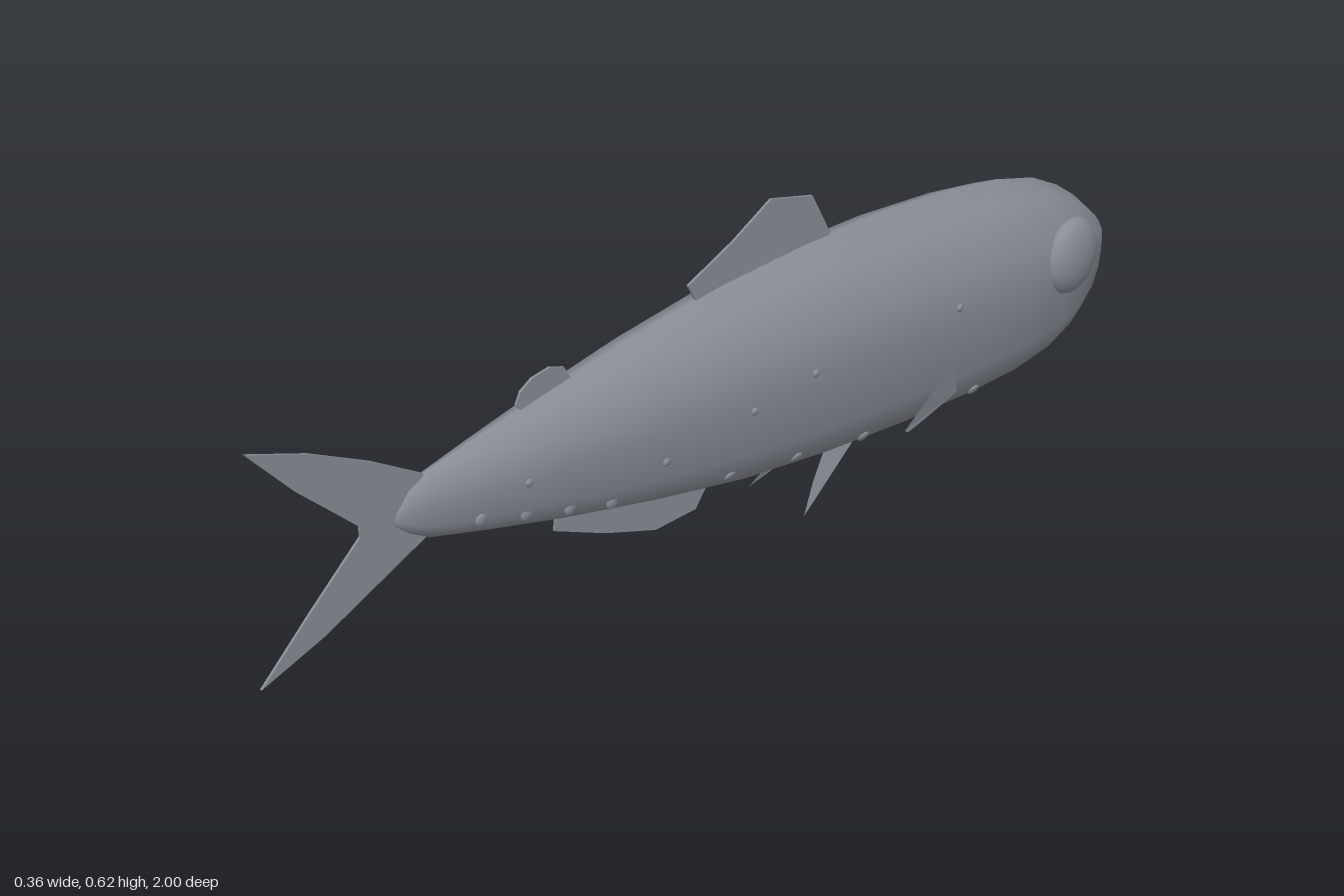
import * as THREE from 'three';

// Body stations: z, top y, bottom y, half width
const STATIONS = [
  [-1, 0.3, 0.28, 0.006], [-0.985, 0.325, 0.245, 0.024], [-0.96, 0.352, 0.205, 0.045],
  [-0.92, 0.39, 0.16, 0.068], [-0.87, 0.425, 0.122, 0.088], [-0.8, 0.46, 0.095, 0.105],
  [-0.7, 0.485, 0.076, 0.114], [-0.58, 0.5, 0.069, 0.117], [-0.4, 0.508, 0.067, 0.118],
  [-0.2, 0.503, 0.075, 0.115], [0, 0.485, 0.092, 0.106], [0.2, 0.452, 0.125, 0.09],
  [0.4, 0.41, 0.165, 0.068], [0.55, 0.375, 0.2, 0.047], [0.65, 0.352, 0.226, 0.028],
  [0.69, 0.33, 0.247, 0.015], [0.72, 0.292, 0.272, 0.003],
];
// Right half of the cross-section, from back to belly
const HALF = [[0, 1], [0.52, 0.87], [0.94, 0.47], [1, 0.08], [0.92, -0.5], [0.61, -0.83], [0, -1]];
const SECTION = [...HALF, ...HALF.slice(1, -1).reverse().map(([x, y]) => [-x, y])];

function bodyGeometry() {
  const positions = [], index = [], n = SECTION.length;
  for (const [z, top, bottom, w] of STATIONS) {
    for (const [u, v] of SECTION) positions.push(u * w, (top + bottom) / 2 + v * (top - bottom) / 2, z);
  }
  for (let i = 0; i < STATIONS.length - 1; i++) {
    for (let j = 0; j < n; j++) {
      const a = i * n + j, b = i * n + (j + 1) % n;
      index.push(a, a + n, b, b, a + n, b + n);
    }
  }
  // Close the nose and the tail root
  const last = (STATIONS.length - 1) * n;
  for (let j = 1; j < n - 1; j++) index.push(0, j, j + 1, last, last + j + 1, last + j);
  const g = new THREE.BufferGeometry();
  g.setAttribute('position', new THREE.Float32BufferAttribute(positions, 3));
  g.setIndex(index);
  g.computeVertexNormals();
  return g;
}

// Half width of the body surface at a given z and y
function surfaceX(z, y) {
  const i = STATIONS.findIndex((s) => s[0] > z);
  const a = STATIONS[i - 1], b = STATIONS[i], t = (z - a[0]) / (b[0] - a[0]);
  const [, top, bottom, w] = a.map((v, k) => THREE.MathUtils.lerp(v, b[k], t));
  const v = (2 * y - top - bottom) / (top - bottom);
  const k = Math.max(1, HALF.findIndex((p) => p[1] <= v));
  const p = HALF[k - 1], q = HALF[k];
  return w * THREE.MathUtils.lerp(p[0], q[0], (p[1] - v) / (p[1] - q[1]));
}

// Thin upright fin on the centre plane, outlined in (z, y)
function medianFin(points, depth = 0.005) {
  const shape = new THREE.Shape(points.map(([z, y]) => new THREE.Vector2(z, y)));
  const g = new THREE.ExtrudeGeometry(shape, { depth, bevelEnabled: false });
  return g.translate(0, 0, -depth / 2).rotateY(-Math.PI / 2);
}

// Flat paired fin as a fan of triangles, mirrored by side
function pairedFin(points, side) {
  const pos = [];
  for (let i = 1; i < points.length - 1; i++) {
    const tri = [points[0], points[i], points[i + 1]];
    if (side < 0) tri.reverse();
    for (const [x, y, z] of tri) pos.push(x * side, y, z);
  }
  const g = new THREE.BufferGeometry();
  g.setAttribute('position', new THREE.Float32BufferAttribute(pos, 3));
  g.computeVertexNormals();
  return g;
}

export function createModel() {
  const fish = new THREE.Group();
  fish.name = 'fish';
  const grey = new THREE.MeshStandardMaterial({ color: 0x888d96, side: THREE.DoubleSide });
  grey.name = 'slate grey';
  const add = (name, geometry) => {
    const mesh = new THREE.Mesh(geometry, grey);
    mesh.name = name;
    fish.add(mesh);
    return mesh;
  };

  add('body', bodyGeometry());

  // Fins on the centre line
  add('dorsalFin', medianFin([[0.05, 0.46], [0.075, 0.508], [-0.03, 0.56], [-0.12, 0.615],
    [-0.22, 0.593], [-0.265, 0.508], [-0.26, 0.48]]));
  add('adiposeFin', medianFin([[0.44, 0.385], [0.46, 0.408], [0.45, 0.43], [0.425, 0.447],
    [0.385, 0.455], [0.355, 0.445], [0.335, 0.41]]));
  add('analFin', medianFin([[0.38, 0.18], [0.385, 0.138], [0.27, 0.09], [0.155, 0.053],
    [0.06, 0.06], [0.025, 0.11]]));
  add('tailFin', medianFin([[0.65, 0.335], [0.66, 0.352], [0.76, 0.41], [0.88, 0.467], [1, 0.508],
    [0.91, 0.41], [0.79, 0.3], [0.79, 0.28], [0.9, 0.175], [1, 0.075],
    [0.87, 0.125], [0.75, 0.185], [0.66, 0.23], [0.65, 0.25]]));

  // Light organs along the belly and flank: z, y
  const spots = [[-0.58, 0.11], [-0.44, 0.108], [-0.29, 0.112], [-0.12, 0.13], [0.04, 0.148],
    [0.3, 0.185], [0.39, 0.205], [0.48, 0.225], [0.57, 0.245],
    [-0.49, 0.325], [0.01, 0.28], [0.2, 0.24], [0.48, 0.29], [-0.13, 0.31]];

  for (const side of [1, -1]) {
    const label = side > 0 ? 'left' : 'right';

    const eye = add(label + 'Eye', new THREE.SphereGeometry(1, 20, 14));
    eye.scale.set(0.034, 0.076, 0.075);
    eye.position.set(side * 0.094, 0.325, -0.815);
    eye.rotation.y = side * 0.15;

    add(label + 'PectoralFin', pairedFin([[0.107, 0.145, -0.5], [0.108, 0.205, -0.49],
      [0.145, 0.19, -0.39], [0.18, 0.165, -0.29], [0.178, 0.158, -0.3], [0.155, 0.15, -0.36]], side));
    add(label + 'PelvicFin', pairedFin([[0.034, 0.09, -0.31], [0.04, 0.09, -0.22],
      [0.056, 0.05, -0.18], [0.075, 0, -0.14], [0.06, 0.03, -0.2]], side));

    spots.forEach(([z, y], i) => {
      const big = i < 9;
      const spot = add(label + 'LightOrgan', new THREE.SphereGeometry(1, 8, 6));
      const r = big ? 0.013 : 0.008;
      spot.scale.set(0.005, r, r);
      spot.position.set(side * surfaceX(z, y), y, z);
      spot.rotation.z = side * (y < 0.16 ? -0.6 : -0.1);
    });
  }
  return fish;
}
